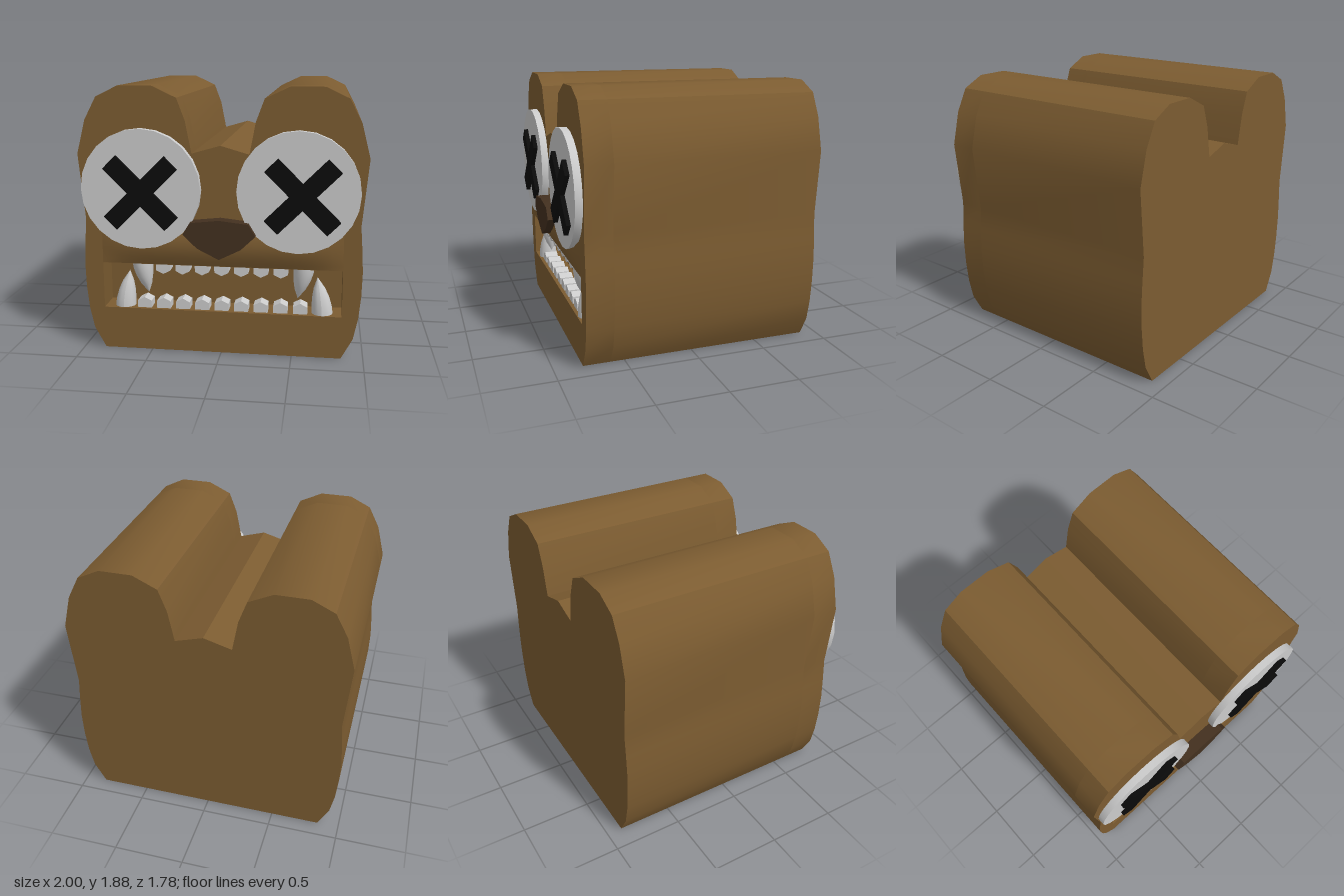
import * as THREE from 'three';
import { toCreasedNormals } from 'three/addons/utils/BufferGeometryUtils.js';

const mat = (color) => new THREE.MeshStandardMaterial({ color });
const fur = mat(0x7c5c31);
const dark = mat(0x43301f);
const black = mat(0x0b0b0b);
const grey = mat(0xcccccc);

const FRONT = 0.795, BACK = -0.89, MOUTH_Z = 0.6;

const shapeOf = (pts) => new THREE.Shape(pts.map(([x, y]) => new THREE.Vector2(x, y)));

// Flat-capped extrusion between two z planes
function slab(shape, z0, z1, crease = 0.5) {
  const g = new THREE.ExtrudeGeometry(shape, { depth: z1 - z0, bevelEnabled: false });
  g.translate(0, 0, z0);
  return toCreasedNormals(g, crease);
}

export function createModel() {
  const model = new THREE.Group();
  const add = (name, geometry, material, parent = model) => {
    const m = new THREE.Mesh(geometry, material);
    m.name = name;
    parent.add(m);
    return m;
  };

  // Head silhouette: right half from chin to brow, then mirrored
  const half = [
    [0.845, 0], [0.925, 0.147], [0.957, 0.297], [0.973, 0.457], [0.978, 0.63],
    [0.97, 0.78], [0.957, 0.954], [1, 1.415], [0.94, 1.65], [0.856, 1.81],
    [0.7, 1.885], [0.468, 1.885], [0.298, 1.805], [0.24, 1.65], [0.198, 1.43],
  ];
  const outline = [...half, [0, 1.487], ...half.map(([x, y]) => [-x, y]).reverse()];
  add('head', slab(shapeOf(outline), BACK, MOUTH_Z), fur);

  // Front layer of the head with the mouth opening cut out
  const face = shapeOf(outline);
  face.holes.push(new THREE.Path([
    [-0.845, 0.305], [-0.845, 0.638], [0.845, 0.638], [0.845, 0.305],
  ].map(([x, y]) => new THREE.Vector2(x, y))));
  add('face', slab(face, MOUTH_Z, FRONT), fur);

  // Muzzle: a shallow swelling above the mouth
  const muzzle = new THREE.PlaneGeometry(1.69, 0.3, 24, 10);
  const p = muzzle.attributes.position;
  for (let i = 0; i < p.count; i++) {
    const u = p.getX(i) / 0.845, v = p.getY(i) / 0.15;
    p.setZ(i, 0.04 * (1 - u ** 6) * Math.cos(v * Math.PI / 2));
  }
  muzzle.computeVertexNormals();
  muzzle.translate(0, 0.79, FRONT + 0.001);
  add('muzzle', muzzle, fur);

  // Nose
  const nose = shapeOf([
    [0, 0.715], [0.15, 0.79], [0.25, 0.885], [0.2, 0.968],
    [0, 0.99], [-0.2, 0.968], [-0.25, 0.885], [-0.15, 0.79],
  ]);
  add('nose', slab(nose, FRONT, 0.89), dark);

  // Button eyes with crossed bars
  for (const [side, x, crossX] of [['right', -0.55, -0.545], ['left', 0.533, 0.563]]) {
    const eye = new THREE.Group();
    eye.name = side + 'Eye';
    model.add(eye);
    const disc = new THREE.CylinderGeometry(0.418, 0.418, 0.06, 24).rotateX(Math.PI / 2);
    add('eyeDisc', toCreasedNormals(disc, 0.6), grey, eye).position.set(x, 1.182, 0.817);
    const arm = 0.6, w = 0.127, t = (arm - w) / 4 + w / 2;
    for (const sign of [-1, 1]) {
      if (sign > 0) {
        const bar = add('crossBar', new THREE.BoxGeometry(arm, w, 0.035), black, eye);
        bar.position.set(crossX, 1.16, 0.8605);
        bar.rotation.z = Math.PI / 4;
      } else {
        // The second bar is split so the two do not overlap
        for (const end of [-1, 1]) {
          const stub = add('crossBarHalf', new THREE.BoxGeometry((arm - w) / 2, w, 0.035), black, eye);
          stub.position.set(crossX + end * t * Math.SQRT1_2, 1.16 - end * t * Math.SQRT1_2, 0.8605);
          stub.rotation.z = -Math.PI / 4;
        }
      }
    }
  }

  // Small teeth: short blocks with a pointed crown
  const crown = slab(shapeOf([[-0.05, 0], [0.05, 0], [0.05, 0.052], [0, 0.077], [-0.05, 0.052]]), -0.05, 0.05, 0.3);
  const toothRow = (name, count, y, flip) => {
    const row = new THREE.Group();
    row.name = name;
    model.add(row);
    for (let i = 0; i < count; i++) {
      const tooth = add('tooth', crown, grey, row);
      tooth.position.set((i - (count - 1) / 2) * 0.139, y, 0.72);
      if (flip) tooth.rotation.z = Math.PI;
    }
  };
  toothRow('upperTeeth', 7, 0.638, true);
  toothRow('lowerTeeth', 9, 0.305, false);

  // Fangs: tapered cones leaning towards the middle of the mouth
  function fang(name, x, y, height, lean, flip) {
    const profile = [[0.074, 0], [0.071, 0.2], [0.06, 0.45], [0.04, 0.7], [0, 1]]
      .map(([r, t]) => new THREE.Vector2(r, t * height));
    const g = new THREE.LatheGeometry(profile, 16);
    const q = g.attributes.position;
    for (let i = 0; i < q.count; i++) q.setX(i, q.getX(i) + lean * (q.getY(i) / height) ** 1.5);
    g.computeVertexNormals();
    const m = add(name, g, grey);
    m.position.set(x, y, 0.715);
    if (flip) m.rotation.x = Math.PI;
  }
  for (const s of [-1, 1]) {
    fang('upperFang', s * 0.577, 0.638, 0.235, -s * 0.042, true);
    fang('lowerFang', s * 0.708, 0.305, 0.26, -s * 0.036, false);
  }

  return model;
}
